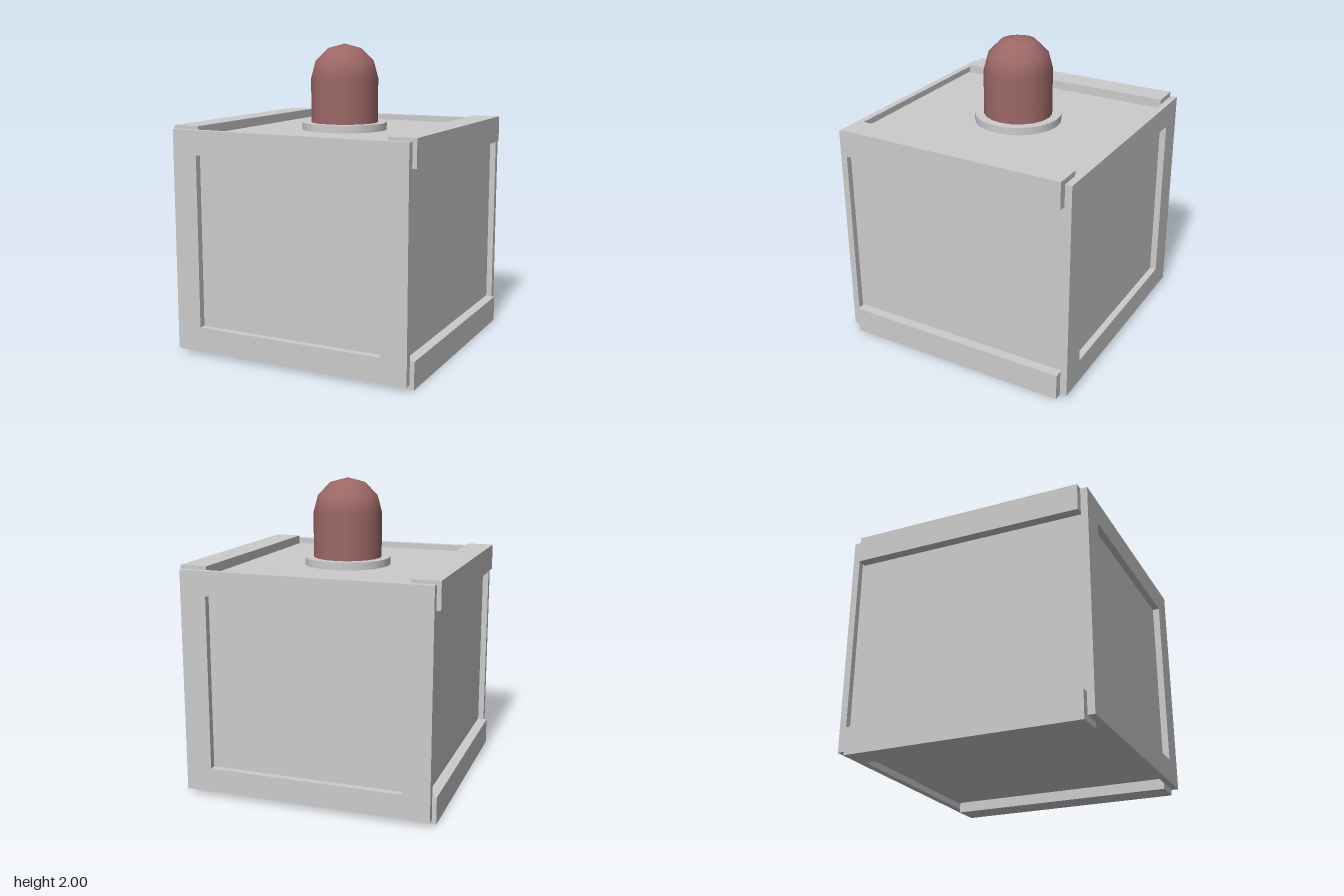
import * as THREE from 'three';

export function createModel() {
  const model = new THREE.Group();
  const grey = new THREE.MeshStandardMaterial({ color: 0xcccccc });
  const domeColor = new THREE.MeshStandardMaterial({ color: 0x9c6866 });

  function add(name, geometry, material, x, y, z) {
    const mesh = new THREE.Mesh(geometry, material);
    mesh.name = name;
    mesh.position.set(x, y, z);
    model.add(mesh);
    return mesh;
  }

  // Crate body
  const midY = 0.75;
  add('crateBody', new THREE.BoxGeometry(1.54, 1.36, 1.55), grey, 0, midY, 0);

  // Front and back frames, each with a rectangular opening
  const rect = (path, w, h) => {
    path.moveTo(-w, -h);
    path.lineTo(w, -h);
    path.lineTo(w, h);
    path.lineTo(-w, h);
    path.closePath();
    return path;
  };
  const frameShape = rect(new THREE.Shape(), 0.81, 0.72);
  frameShape.holes.push(rect(new THREE.Path(), 0.638, 0.563));
  const frameGeometry = new THREE.ExtrudeGeometry(frameShape, { depth: 0.045, bevelEnabled: false });
  add('frontFrame', frameGeometry, grey, 0, midY, 0.774);
  add('backFrame', frameGeometry, grey, 0, midY, -0.774).rotation.y = Math.PI;

  // Rails along the four long edges
  const railGeometry = new THREE.BoxGeometry(0.18, 0.175, 1.525);
  for (const [side, sx] of [['left', 1], ['right', -1]]) {
    add(side + 'TopRail', railGeometry, grey, sx * 0.745, 1.4025, 0.002);
    add(side + 'BottomRail', railGeometry, grey, sx * 0.745, 0.0875, 0.002);
  }

  // Round base plate on the lid
  const cx = -0.01, cz = -0.016;
  add('domeBase', new THREE.CylinderGeometry(0.285, 0.285, 0.06, 24), grey, cx, 1.45, cz);

  // Round-topped post: straight wall, then a quarter circle in three steps
  const r = 0.226, shoulder = 2 - r;
  const wallGeometry = new THREE.CylinderGeometry(r, r, shoulder - 1.45, 20, 1, true);
  add('domeWall', wallGeometry, domeColor, cx, (shoulder + 1.45) / 2, cz);
  const capGeometry = new THREE.SphereGeometry(r, 20, 3, Math.PI / 2, Math.PI * 2, 0, Math.PI / 2);
  add('domeCap', capGeometry, domeColor, cx, shoulder, cz);

  return model;
}
